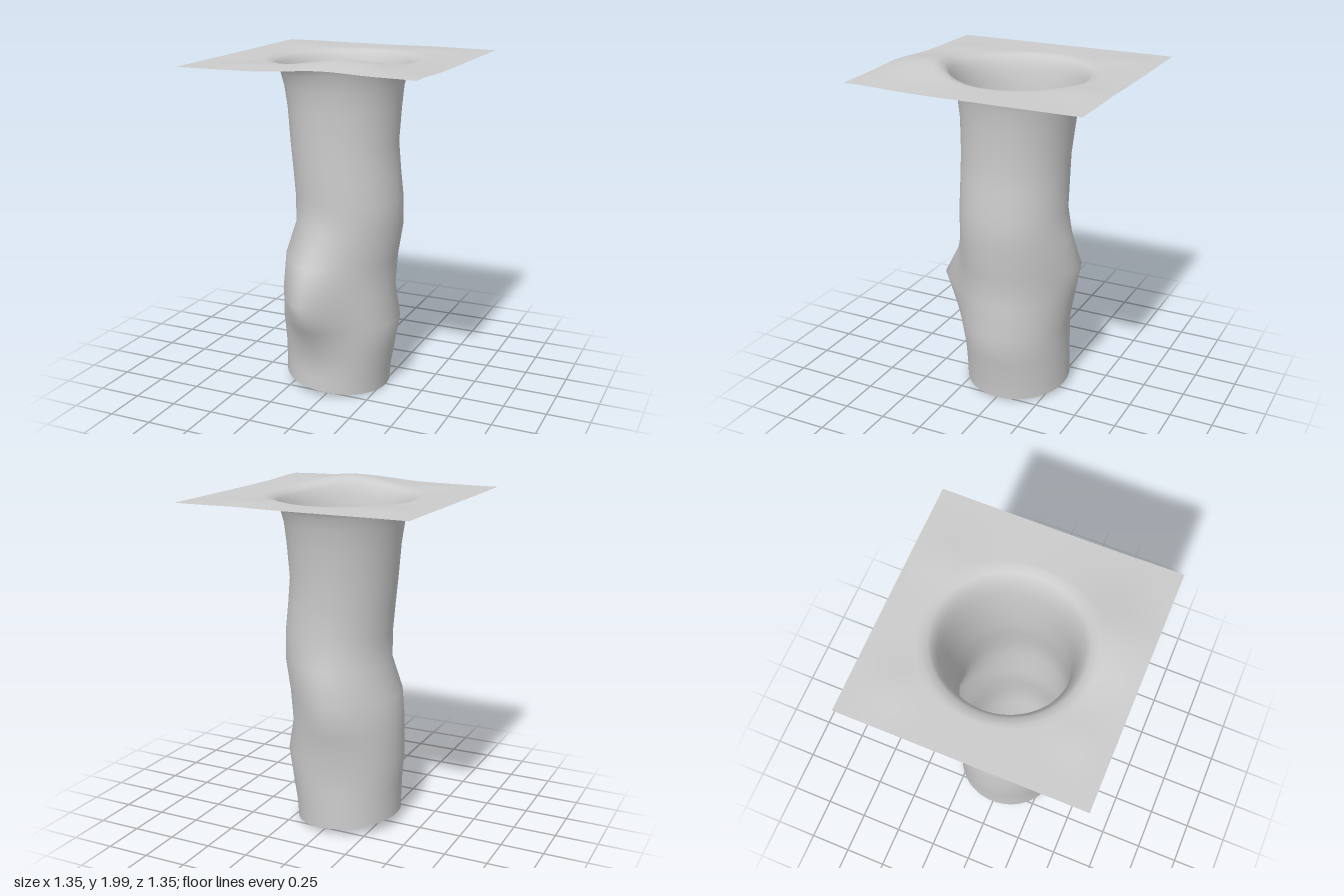
import * as THREE from 'three';

const N = 96; // points around every ring
const HALF = 0.675; // half width of the ground sheet

const gauss = (d, w) => Math.exp(-(d * d) / (w * w));

// Soft hills on the ground: x, z, height, radius
const hills = [
  [0.18, 0.45, 0.051, 0.27],
  [0.6, 0.62, 0.012, 0.2],
  [-0.45, -0.45, 0.012, 0.14],
  [-0.35, 0.48, 0.011, 0.12],
  [0.3, -0.5, 0.012, 0.15],
];
const groundY = (x, z) =>
  hills.reduce((y, [hx, hz, h, r]) => y + h * gauss(Math.hypot(x - hx, z - hz), r), 1.948);

// Shaft rows: y, left x, right x, back z, front z, front bulge, back bulge
const rows = [
  [1.937, -0.405, 0.385, -0.425, 0.4, 0, 0],
  [1.91, -0.383, 0.365, -0.4, 0.375, 0, 0],
  [1.87, -0.366, 0.348, -0.38, 0.353, 0, 0],
  [1.8, -0.348, 0.33, -0.36, 0.332, 0, 0],
  [1.68, -0.33, 0.32, -0.338, 0.317, 0, 0],
  [1.48, -0.31, 0.31, -0.315, 0.315, 0, 0],
  [1.32, -0.294, 0.324, -0.315, 0.315, 0, 0],
  [1.16, -0.28, 0.342, -0.315, 0.315, 0, 0],
  [1.0, -0.28, 0.345, -0.315, 0.315, 0, 0.03],
  [0.81, -0.345, 0.315, -0.315, 0.315, 0.09, 0.075],
  [0.62, -0.358, 0.3, -0.315, 0.315, 0.195, 0.035],
  [0.43, -0.368, 0.335, -0.315, 0.315, 0.09, 0],
  [0.26, -0.355, 0.305, -0.315, 0.315, 0, 0],
  [0.12, -0.35, 0.278, -0.315, 0.315, 0, 0],
  [0.034, -0.35, 0.27, -0.315, 0.315, 0, 0],
];

function ellipsePoint(a, [y, xl, xr, zb, zf, front, back]) {
  const x = (xl + xr) / 2 + ((xr - xl) / 2) * Math.cos(a);
  const s = Math.sin(a);
  let z = (zb + zf) / 2 + ((zf - zb) / 2) * s;
  z += s > 0 ? front * s * gauss(x + 0.08, 0.2) : back * s * gauss(x + 0.08, 0.24);
  return new THREE.Vector3(x, y, z);
}

// Smooth surface through closed rings of N points
function loft(rings, name, material) {
  const pos = rings.flat().flatMap((p) => [p.x, p.y, p.z]);
  const index = [];
  for (let r = 0; r < rings.length - 1; r++) {
    for (let i = 0; i < N; i++) {
      const j = (i + 1) % N;
      const a = r * N + i, b = r * N + j, c = a + N, d = b + N;
      index.push(a, b, c, b, d, c);
    }
  }
  const geo = new THREE.BufferGeometry();
  geo.setAttribute('position', new THREE.Float32BufferAttribute(pos, 3));
  geo.setIndex(index);
  geo.computeVertexNormals();
  const mesh = new THREE.Mesh(geo, material);
  mesh.name = name;
  return mesh;
}

export function createModel() {
  const group = new THREE.Group();
  group.name = 'shaftInGround';
  const material = new THREE.MeshStandardMaterial({ color: 0xcccccc, side: THREE.DoubleSide });
  const ring = (fn) => Array.from({ length: N }, (_, i) => fn((i / N) * Math.PI * 2));

  // Ground sheet, blending from a square border to the round lip
  const rim = [1.948, -0.445, 0.425, -0.465, 0.44, 0, 0];
  const steps = 14;
  const rings = [];
  for (let k = 0; k <= steps; k++) {
    rings.push(ring((a) => {
      const c = Math.cos(a), s = Math.sin(a);
      const m = HALF / Math.max(Math.abs(c), Math.abs(s));
      const p = new THREE.Vector3(c * m, 0, s * m).lerp(ellipsePoint(a, rim), k / steps);
      p.y = groundY(p.x, p.z);
      return p;
    }));
  }

  // Flared mouth and winding shaft; the mouth follows the hills, the foot is cut at a slant
  for (const row of rows) {
    rings.push(ring((a) => {
      const p = ellipsePoint(a, row);
      if (p.y > 1.75) p.y += (groundY(p.x, p.z) - 1.948) * ((p.y - 1.75) / 0.2);
      if (p.y < 0.2) p.y -= 0.105 * p.x * (1 - (p.y - 0.034) / 0.166);
      return p;
    }));
  }
  group.add(loft(rings, 'groundAndShaft', material));

  // Slanted floor closing the bottom
  const foot = rings[rings.length - 1].map((p) => p.clone());
  const mid = new THREE.Vector3(-0.04, 0.034 + 0.105 * 0.04, 0);
  group.add(loft([foot, foot.map(() => mid)], 'shaftFloor', material));
  return group;
}
